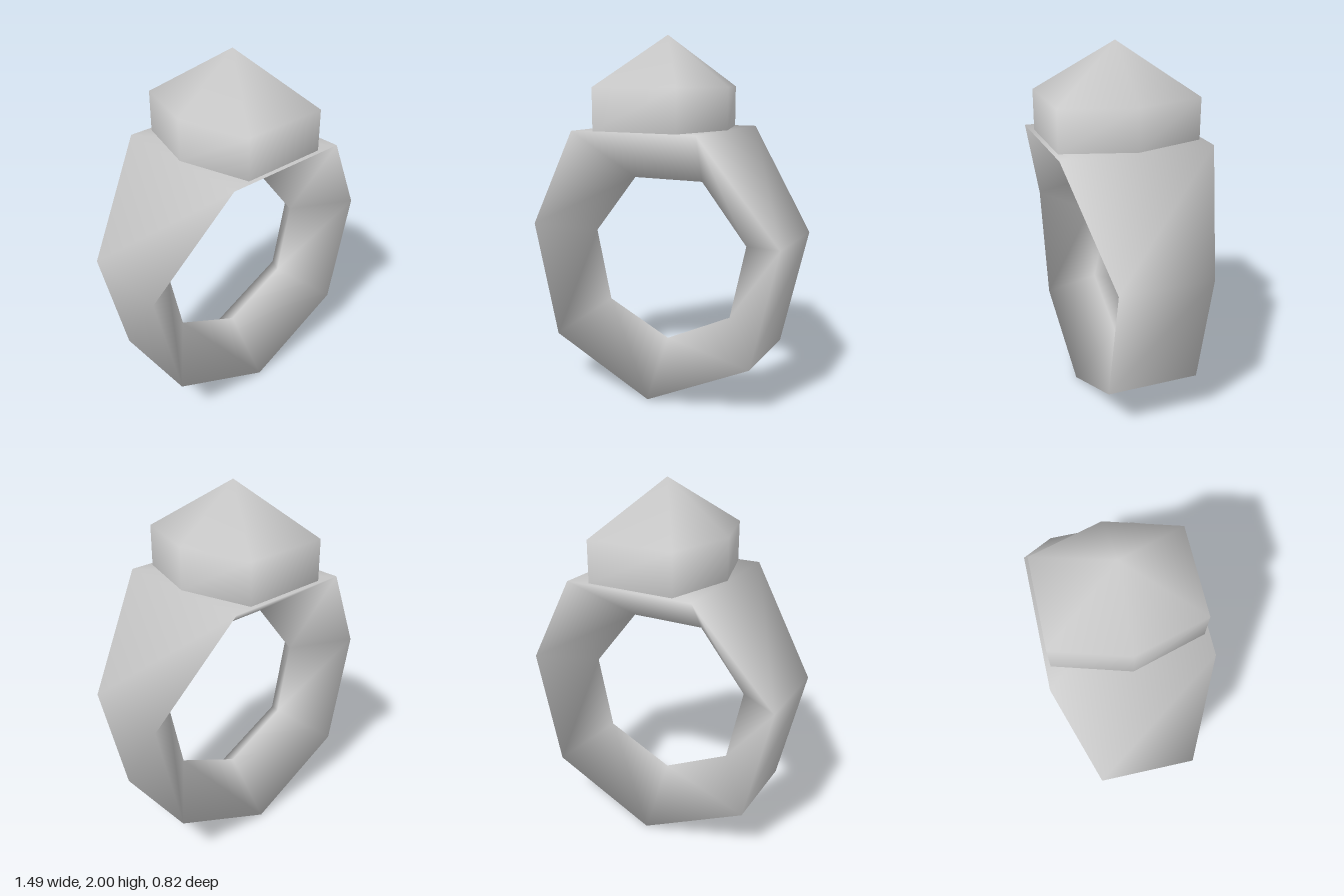
import * as THREE from 'three';
import { mergeVertices } from 'three/addons/utils/BufferGeometryUtils.js';

// Skins a list of equal-sized closed cross-sections; 'closed' joins last to first.
function loft(sections, closed) {
  const n = sections[0].length, index = [];
  const rows = closed ? sections.length : sections.length - 1;
  for (let i = 0; i < rows; i++) {
    const j = (i + 1) % sections.length;
    for (let k = 0; k < n; k++) {
      const m = (k + 1) % n;
      const a = i * n + k, b = i * n + m, c = j * n + m, d = j * n + k;
      index.push(a, b, c, a, c, d);
    }
  }
  let geometry = new THREE.BufferGeometry();
  geometry.setAttribute('position', new THREE.Float32BufferAttribute(sections.flat(2), 3));
  geometry.setIndex(index);
  geometry = mergeVertices(geometry);
  geometry.computeVertexNormals();
  return geometry;
}

export function createModel() {
  const group = new THREE.Group();
  const silver = new THREE.MeshStandardMaterial({ color: 0xcccccc });
  silver.name = 'silver grey';

  // Seven-sided band: [outer x, outer y, half width, inner x, inner y]
  const half = [
    [0, 0, 0.25, 0, 0.28],
    [0.6, 0.29, 0.25, 0.385, 0.465],
    [0.747, 0.94, 0.25, 0.475, 0.88],
    [0.36, 1.5, 0.41, 0.21, 1.215],
  ];
  const mirrored = half.slice(1).reverse().map(([x, y, w, ix, iy]) => [-x, y, w, -ix, iy]);

  // Triangular section, flat outside and pointed towards the finger
  const sections = [...half, ...mirrored].map(([x, y, w, ix, iy]) => [
    [x, y, w], [x, y, -w], [ix, iy, 0],
  ]);
  const band = new THREE.Mesh(loft(sections, true), silver);
  band.name = 'band';
  group.add(band);

  // Six-sided stone with a pointed top
  const outline = [
    [0.355, 0], [0.243, -0.385], [-0.243, -0.385],
    [-0.355, 0], [-0.243, 0.385], [0.243, 0.385],
  ];
  const ring = (y, s) => outline.map(([x, z]) => [x * s, y, z * s]);
  const stone = new THREE.Mesh(loft([ring(1.5, 1), ring(1.725, 1), ring(2, 0)], false), silver);
  stone.name = 'stone';
  group.add(stone);

  return group;
}
